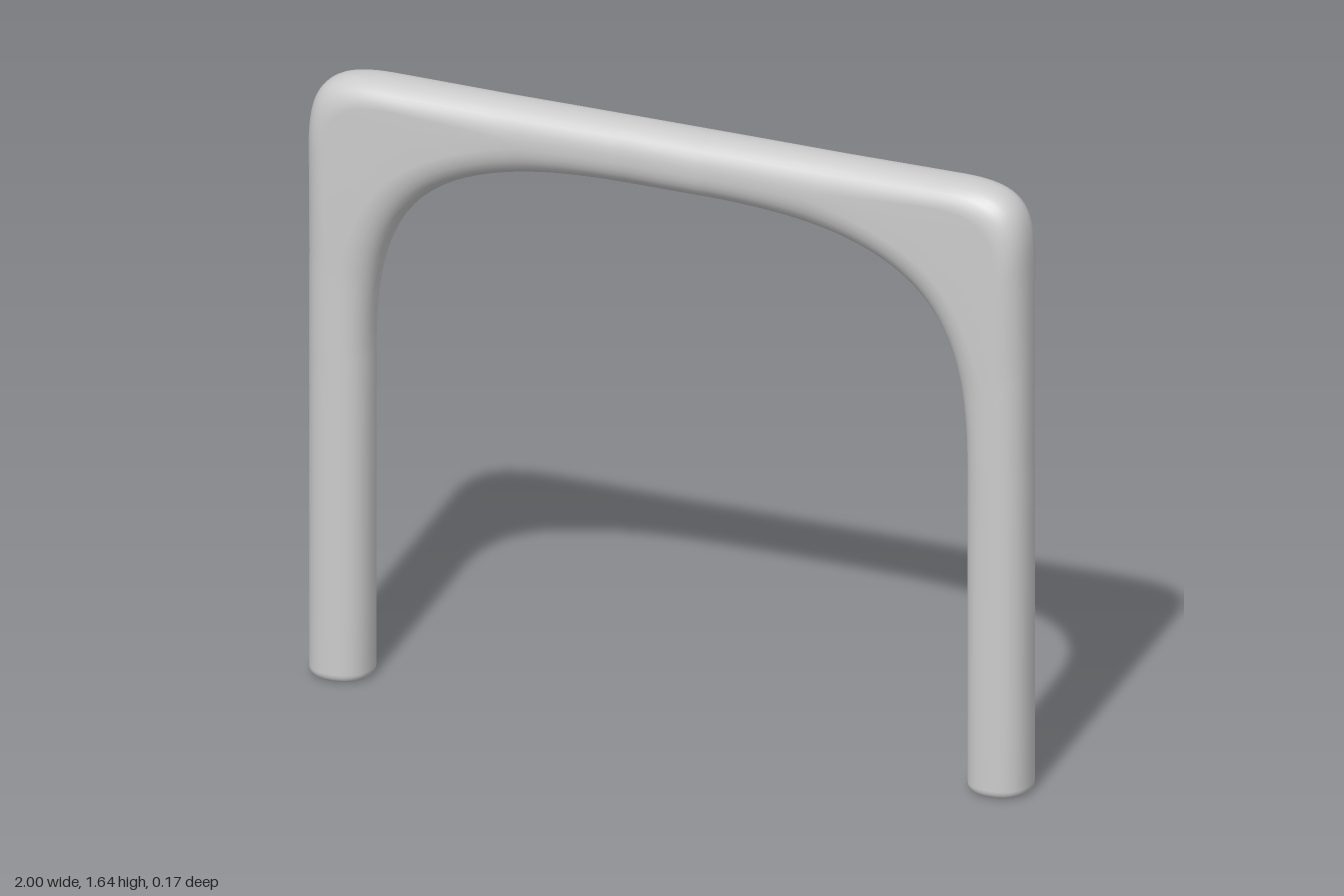
import * as THREE from 'three';

const SIDES = 32, HALF_DEPTH = 0.083;
const v = (x, y) => new THREE.Vector2(x, y);

// Outer edge and inner arch edge of the +x half, from leg to beam
const innerArch = new THREE.CubicBezierCurve(v(0.835, 0.88), v(0.835, 1.29), v(0.7, 1.48), v(0.1, 1.48));
const outerCorner = new THREE.CubicBezierCurve(v(1, 1.45), v(1, 1.6), v(0.96, 1.645), v(0.8, 1.645));

function outerEdge(t) {
  if (t < 0.35) return v(1, 0.88).lerp(v(1, 1.45), t / 0.35);
  if (t > 0.65) return v(0.8, 1.645).lerp(v(0.1, 1.645), (t - 0.65) / 0.35);
  return outerCorner.getPoint((t - 0.35) / 0.3);
}

// Each station joins an inner point to an outer point, with a depth
function halfStations() {
  const list = [];
  // Foot with a small rounded rim
  for (let i = 0; i <= 5; i++) {
    const a = (i / 5) * Math.PI / 2, inset = 0.016 * (1 - Math.sin(a)), y = 0.022 * (1 - Math.cos(a));
    list.push({ inner: v(0.835 + inset, y), outer: v(1 - inset, y), depth: HALF_DEPTH - inset });
  }
  for (const y of [0.2, 0.45, 0.7]) list.push({ inner: v(0.835, y), outer: v(1, y), depth: HALF_DEPTH });
  // Leg bending into the beam
  for (let i = 0; i <= 60; i++) {
    const t = i / 60;
    list.push({ inner: innerArch.getPoint(t), outer: outerEdge(t), depth: HALF_DEPTH });
  }
  return list;
}

const power = (c) => Math.sign(c) * Math.pow(Math.abs(c), 2 / 2.3);

// Rounded section whose flat middle stretches where the corner widens
function section({ inner, outer, depth }) {
  const half = inner.distanceTo(outer) / 2;
  const mid = inner.clone().add(outer).multiplyScalar(0.5);
  const dir = outer.clone().sub(inner).normalize();
  const round = Math.min(half, 0.1);
  const ring = [];
  for (let i = 0; i < SIDES; i++) {
    const a = ((i + 0.5) / SIDES) * Math.PI * 2, c = Math.cos(a);
    const s = Math.sign(c) * (half - round) + round * power(c);
    ring.push([mid.x + dir.x * s, mid.y + dir.y * s, depth * power(Math.sin(a))]);
  }
  return ring;
}

function buildGeometry(positions, index) {
  const g = new THREE.BufferGeometry();
  g.setAttribute('position', new THREE.Float32BufferAttribute(positions, 3));
  g.setIndex(index);
  g.computeVertexNormals();
  return g;
}

function frameGeometry() {
  const right = halfStations();
  const left = right.map((s) => ({
    inner: v(-s.inner.x, s.inner.y), outer: v(-s.outer.x, s.outer.y), depth: s.depth,
  })).reverse();
  const rings = [...right, ...left].map(section);
  const index = [];
  for (let r = 0; r < rings.length - 1; r++) {
    for (let i = 0; i < SIDES; i++) {
      const j = (i + 1) % SIDES;
      const a = r * SIDES + i, b = r * SIDES + j, c = a + SIDES, d = b + SIDES;
      index.push(a, c, b, b, c, d);
    }
  }
  return buildGeometry(rings.flat(2), index);
}

// Flat underside of a foot
function soleGeometry(side) {
  const ring = section(halfStations()[0]).map(([x, y, z]) => [side * x, y, z]);
  const index = [];
  for (let i = 0; i < SIDES; i++) {
    const j = (i + 1) % SIDES;
    index.push(SIDES, side > 0 ? i : j, side > 0 ? j : i);
  }
  return buildGeometry([...ring.flat(), side * 0.9175, 0, 0], index);
}

export function createModel() {
  const group = new THREE.Group();
  group.name = 'archFrame';
  const material = new THREE.MeshStandardMaterial({ color: 0xcccccc });
  const add = (name, geometry) => {
    const mesh = new THREE.Mesh(geometry, material);
    mesh.name = name;
    group.add(mesh);
  };
  add('legsAndBeam', frameGeometry());
  add('leftFootSole', soleGeometry(1));
  add('rightFootSole', soleGeometry(-1));
  return group;
}
